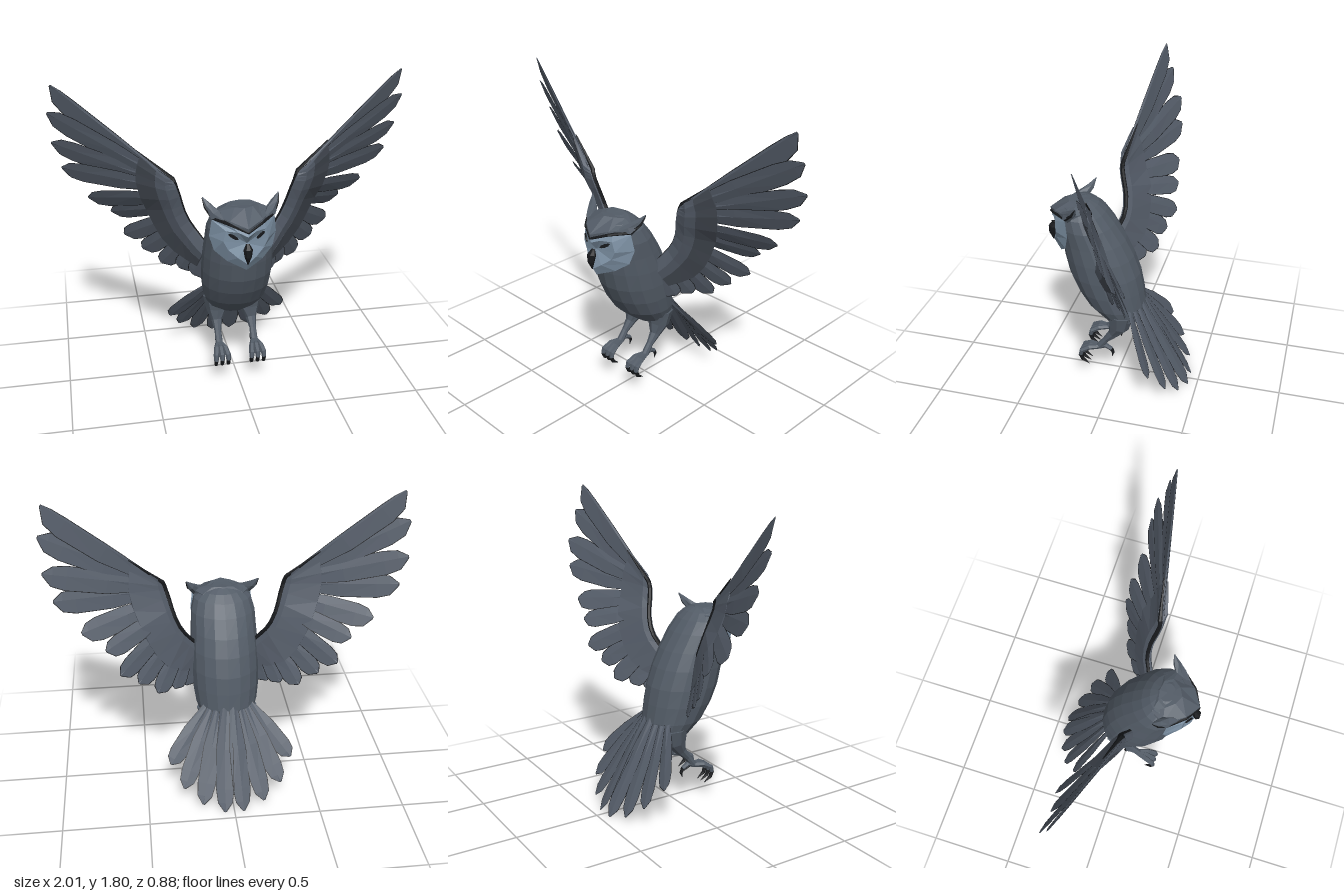
import * as THREE from 'three';

const V = (x, y, z) => new THREE.Vector3(x, y, z);
const colour = (name, hex) => {
  const m = new THREE.MeshStandardMaterial({ color: hex });
  m.name = name;
  return m;
};

// Joins equal-sized rings of points into a closed, faceted, outward-facing solid
function loft(rings) {
  const tris = [];
  const n = rings[0].length;
  for (let i = 0; i < rings.length - 1; i++) {
    for (let j = 0; j < n; j++) {
      const k = (j + 1) % n;
      const [a, b, c, d] = [rings[i][j], rings[i][k], rings[i + 1][k], rings[i + 1][j]];
      tris.push([a, b, c], [a, c, d]);
    }
  }
  const cap = (ring, flip) => {
    const mid = ring.reduce((s, p) => s.add(p), V(0, 0, 0)).divideScalar(n);
    for (let j = 0; j < n; j++) {
      const k = (j + 1) % n;
      tris.push(flip ? [mid, ring[k], ring[j]] : [mid, ring[j], ring[k]]);
    }
  };
  cap(rings[0], true);
  cap(rings[rings.length - 1], false);
  const o = rings[0][0];
  let volume = 0;
  for (const [a, b, c] of tris) {
    volume += a.clone().sub(o).dot(b.clone().sub(o).cross(c.clone().sub(o)));
  }
  const pts = tris.flatMap(([a, b, c]) => (volume < 0 ? [a, c, b] : [a, b, c]));
  const g = new THREE.BufferGeometry().setFromPoints(pts);
  g.computeVertexNormals();
  return g;
}

// Tapered limb along a path, with one radius per point
function limb(path, radii, sides = 6) {
  return loft(path.map((p, i) => {
    const d = path[Math.min(i + 1, path.length - 1)].clone().sub(path[Math.max(i - 1, 0)]).normalize();
    const u = V(1, 0.01, 0.02).addScaledVector(d, -d.x).normalize();
    const w = d.clone().cross(u).normalize();
    return Array.from({ length: sides }, (_, j) => {
      const a = (j / sides) * Math.PI * 2;
      return p.clone().addScaledVector(u, Math.cos(a) * radii[i]).addScaledVector(w, Math.sin(a) * radii[i]);
    });
  }));
}

// Thin feather with a raised shaft; u points to its leading side
function feather(base, tip, u, n, lead, trail, ridge) {
  const stations = [[0, 0.4], [0.45, 0.95], [0.8, 1], [0.92, 0.8], [1, 0.12]];
  return loft(stations.map(([t, w]) => {
    const p = base.clone().lerp(tip, t);
    const h = ridge * (1 - 0.75 * t);
    return [
      p.clone().addScaledVector(u, lead * w), p.clone().addScaledVector(n, h),
      p.clone().addScaledVector(u, -trail * w), p.clone().addScaledVector(n, -h),
    ];
  }));
}

export function createModel() {
  const plumage = colour('slate plumage', 0x535c67);
  const quill = colour('flight feather grey', 0x545c68);
  const covertGrey = colour('covert grey', 0x444a53);
  const faceBlue = colour('pale face', 0x7d91a4);
  const black = colour('beak black', 0x17191c);

  const owl = new THREE.Group();
  owl.name = 'owl';
  const add = (name, geometry, material, parent = owl) => {
    const m = new THREE.Mesh(geometry, material);
    m.name = name;
    parent.add(m);
    return m;
  };
  const group = (name) => {
    const g = new THREE.Group();
    g.name = name;
    owl.add(g);
    return g;
  };
  // Feather blade with a fine dark rim
  const addFeather = (name, parent, base, tip, u, n, lead, trail) => {
    const rim = 0.003;
    const rimTip = tip.clone().addScaledVector(tip.clone().sub(base).normalize(), rim);
    add(name, feather(base, tip, u, n, lead, trail, 0.01), quill, parent);
    add(name + 'Rim', feather(base, rimTip, u, n, lead + rim, trail + rim, 0.002), black, parent);
  };

  // Body and head: horizontal slices [y, back z, front z, half width]
  const slices = [
    [0.395, -0.12, 0.04, 0.09], [0.44, -0.16, 0.10, 0.155], [0.52, -0.16, 0.19, 0.185],
    [0.62, -0.145, 0.255, 0.2], [0.72, -0.125, 0.3, 0.205], [0.83, -0.085, 0.325, 0.203],
    [0.93, -0.035, 0.34, 0.195], [1.03, 0.03, 0.35, 0.19], [1.1, 0.085, 0.35, 0.17],
    [1.14, 0.13, 0.33, 0.125], [1.165, 0.18, 0.27, 0.055],
  ];
  add('body', loft(slices.map(([y, zb, zf, w]) => Array.from({ length: 18 }, (_, j) => {
    const a = (j / 18) * Math.PI * 2;
    return V(Math.sin(a) * w, y, (zb + zf) / 2 + (Math.cos(a) * (zf - zb)) / 2);
  }))), plumage);

  // Head parts made of rings mirrored from one half
  const mirrorRing = (half) => {
    const pts = half.map((p) => V(...p));
    return [...pts, ...pts.slice(1, -1).reverse().map((p) => V(-p.x, p.y, p.z))];
  };
  // Wedge-shaped forehead ending in a V over the face
  add('forehead', loft([
    mirrorRing([[0, 1.065, 0.415], [0.09, 1.1, 0.365], [0.175, 1.115, 0.26], [0.12, 1.1, 0.17], [0, 1.09, 0.12]]),
    mirrorRing([[0, 1.09, 0.418], [0.09, 1.118, 0.36], [0.17, 1.13, 0.25], [0.12, 1.13, 0.17], [0, 1.13, 0.13]]),
    mirrorRing([[0, 1.168, 0.31], [0.05, 1.166, 0.285], [0.09, 1.158, 0.235], [0.06, 1.165, 0.19], [0, 1.168, 0.18]]),
  ]), plumage);
  // Facial disc: outer rim and raised inner ring
  add('facialDisc', loft([
    mirrorRing([[0, 1.08, 0.39], [0.1, 1.105, 0.345], [0.175, 1.1, 0.275], [0.188, 1.0, 0.26],
      [0.165, 0.92, 0.28], [0.1, 0.87, 0.325], [0, 0.83, 0.375]]),
    mirrorRing([[0, 1.04, 0.412], [0.05, 1.06, 0.385], [0.11, 1.06, 0.355], [0.125, 1.0, 0.35],
      [0.1, 0.95, 0.355], [0.05, 0.91, 0.385], [0, 0.875, 0.4]]),
  ]), faceBlue);

  // Hooked beak
  add('beak', limb([V(0, 0.995, 0.395), V(0, 0.965, 0.408), V(0, 0.925, 0.412), V(0, 0.875, 0.405)],
    [0.01, 0.026, 0.02, 0.002]), black);

  // Leading-edge arm point and feather tip for each wing feather, outermost first
  const arm = [[0.36, 1.27, 0.08], [0.355, 1.255, 0.085], [0.35, 1.24, 0.085], [0.345, 1.22, 0.085],
    [0.33, 1.17, 0.075], [0.315, 1.11, 0.06], [0.3, 1.06, 0.05], [0.275, 1.0, 0.045],
    [0.245, 0.95, 0.05], [0.21, 0.9, 0.07], [0.17, 0.85, 0.09]];
  const tips = [[0.97, 1.8, -0.04], [1.0, 1.64, -0.08], [0.99, 1.455, -0.14], [0.945, 1.3, -0.16],
    [0.81, 1.105, -0.175], [0.685, 1.0, -0.2], [0.615, 0.845, -0.21], [0.515, 0.76, -0.17],
    [0.41, 0.67, -0.14], [0.31, 0.655, -0.08], [0.24, 0.635, -0.02]];

  for (const s of [1, -1]) {
    const side = s > 0 ? 'left' : 'right';
    const P = ([x, y, z]) => V(x * s, y, z);
    const A = arm.map(P);
    const T = tips.map(P);

    // Wing: overlapping flight feathers, a padded arm and a front covert row
    const wing = group(side + 'Wing');
    const armRings = [];
    const covertRings = [];
    A.forEach((a, i) => {
      const t = T[i];
      const d = t.clone().sub(a).normalize();
      const e = T[Math.max(i - 1, 0)].clone().sub(T[Math.min(i + 1, 10)]);
      const u = e.addScaledVector(d, -d.dot(e)).normalize();
      const n = d.clone().cross(u).normalize();
      if (n.z < 0) n.negate();
      const w = i < 5 ? 0.063 : 0.055;
      const lead = i === 0 ? 0.012 : w * 0.85;
      const trail = i === 0 ? 0.097 : w * 1.2;
      // Each blade rolls slightly so that neighbours overlap like shingles
      const tilted = u.clone().addScaledVector(n, 0.06).normalize();
      addFeather('flightFeather', wing, a.clone().addScaledVector(d, 0.04), t, tilted, n, lead, trail);

      const len = a.distanceTo(t);
      const reach = Math.min(0.11, len * 0.4);
      const end = Math.min(0.22, len * 0.65);
      const at = (k, h) => a.clone().addScaledVector(d, k).addScaledVector(n, h);
      armRings.push([at(-0.01, 0.004), at(reach * 0.4, 0.03), at(reach, 0.024), at(end, 0.004),
        at(end, -0.008), at(reach * 0.4, -0.024), at(-0.01, -0.012)]);
      covertRings.push([at(reach * 0.95, 0.026), at(end, 0.014), at(end, 0.003), at(reach * 0.95, 0.01)]);
    });
    add('wingArm', loft(armRings), quill, wing);
    add('coverts', loft(covertRings), covertGrey, wing);
    const edge = [...A.slice(1).reverse(), A[0], A[0].clone().lerp(T[0], 0.3)];
    add('leadingEdge', limb(edge.map((p) => p.clone().add(V(-0.006 * s, 0.002, -0.01))),
      edge.map((_, i) => (i === edge.length - 1 ? 0.003 : 0.013))), black, wing);

    // Ear tuft sweeping out of the brow, with a dark line beneath
    add(side + 'EarTuft', limb([P([0.11, 1.105, 0.325]), P([0.15, 1.118, 0.265]),
      P([0.185, 1.16, 0.225]), P([0.212, 1.205, 0.2])], [0.014, 0.034, 0.022, 0.002]), plumage);
    add(side + 'BrowLine', limb([P([0, 1.066, 0.415]), P([0.09, 1.101, 0.366]), P([0.168, 1.112, 0.272]),
      P([0.2, 1.155, 0.228]), P([0.214, 1.2, 0.201])], [0.007, 0.008, 0.013, 0.009, 0.002]), black);

    // Slanted eye
    const eye = add(side + 'Eye', new THREE.CylinderGeometry(0.028, 0.028, 0.008, 8).rotateX(Math.PI / 2)
      .scale(1.1, 0.32, 1).rotateZ(0.4 * s).rotateY(0.55 * s), black);
    eye.position.set(0.075 * s, 1.035, 0.378);

    // Leg, three front toes, one back toe and claws
    const leg = group(side + 'Leg');
    add('shank', limb([P([0.1, 0.48, -0.03]), P([0.1, 0.39, -0.02]), P([0.105, 0.33, 0.015]),
      P([0.107, 0.28, 0.06]), P([0.107, 0.225, 0.1])], [0.08, 0.062, 0.032, 0.02, 0.022], 8), plumage, leg);
    for (const k of [-1, 0, 1]) {
      const x = (f) => 0.107 + k * f;
      add('frontToe', limb([P([x(0.005), 0.225, 0.095]), P([x(0.025), 0.22, 0.16]), P([x(0.035), 0.195, 0.205]),
        P([x(0.037), 0.165, 0.212])], [0.015, 0.017, 0.017, 0.013]), plumage, leg);
      add('frontClaw', limb([P([x(0.037), 0.17, 0.213]), P([x(0.037), 0.135, 0.2]), P([x(0.036), 0.105, 0.155])],
        [0.013, 0.011, 0.001]), black, leg);
    }
    add('backToe', limb([P([0.107, 0.225, 0.1]), P([0.107, 0.235, 0.06]), P([0.107, 0.215, 0.025])],
      [0.016, 0.016, 0.013]), plumage, leg);
    add('backClaw', limb([P([0.107, 0.218, 0.027]), P([0.107, 0.19, 0.014]), P([0.107, 0.16, 0.022])],
      [0.012, 0.009, 0.001]), black, leg);

    // Half of the tail fan
    const tail = group(side + 'TailFan');
    [[0.055, 0.005, -0.445], [0.18, 0.045, -0.41], [0.285, 0.125, -0.35], [0.355, 0.24, -0.26]].forEach((p, i) => {
      const base = P([0.025 + i * 0.03, 0.58 - i * 0.015, -0.12 + i * 0.012]);
      const tip = P(p);
      const d = tip.clone().sub(base).normalize();
      const u = V(s, 0.15 * i, 0.2);
      u.addScaledVector(d, -u.dot(d)).normalize();
      const n = d.clone().cross(u).normalize();
      addFeather('tailFeather', tail, base, tip, u, n, 0.051, 0.051);
    });
  }
  return owl;
}
